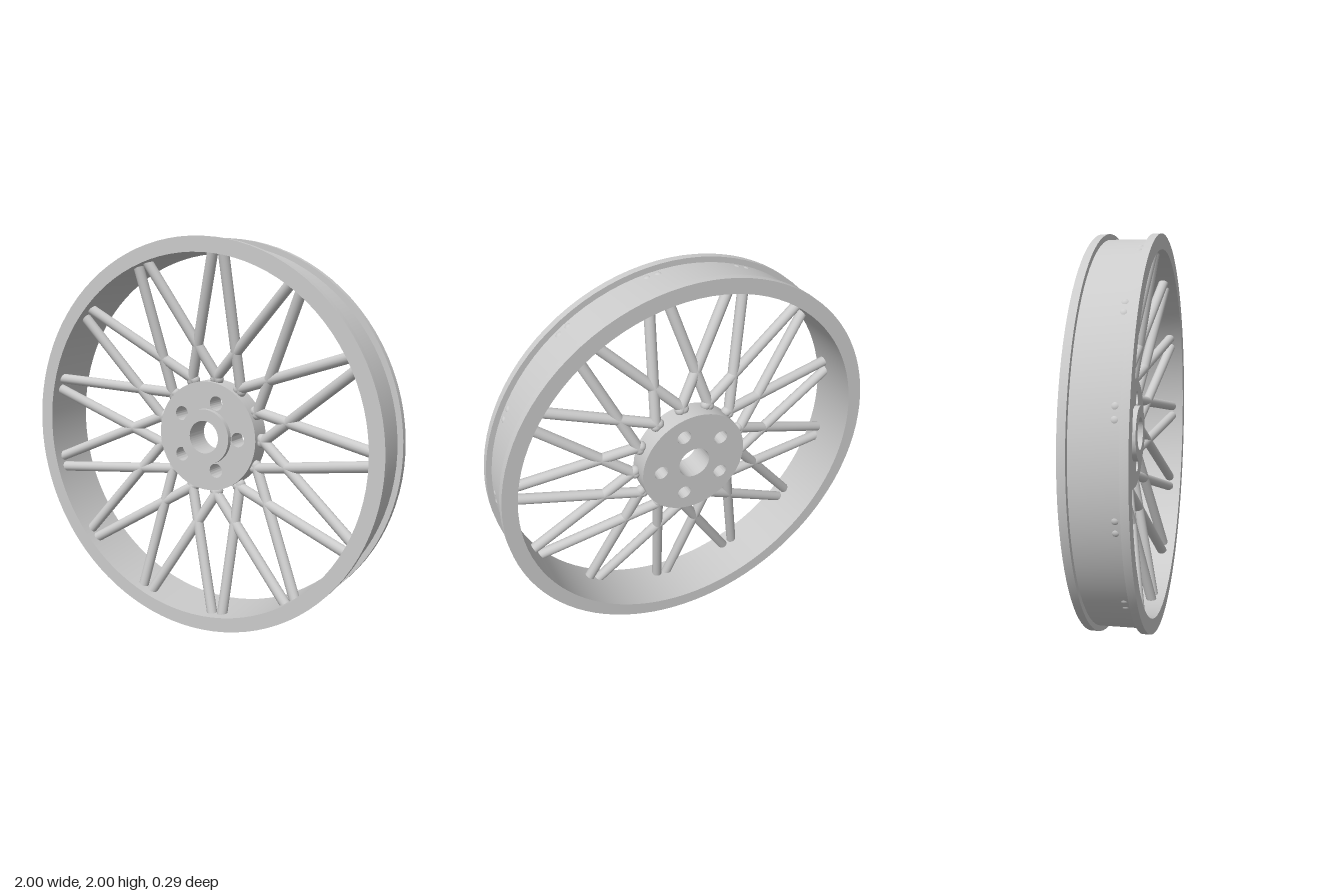
import * as THREE from 'three';
import { toCreasedNormals } from 'three/addons/utils/BufferGeometryUtils.js';

const material = new THREE.MeshStandardMaterial({ color: 0xcccccc });
const PAIRS = 13;

function addMesh(parent, name, geometry) {
  const mesh = new THREE.Mesh(geometry, material);
  mesh.name = name;
  parent.add(mesh);
  return mesh;
}

// Disc lying in the xy plane between two z values, with round holes [x, y, radius]
function disc(radius, z0, z1, holes) {
  const shape = new THREE.Shape().absarc(0, 0, radius, 0, Math.PI * 2, false);
  for (const [x, y, r] of holes) {
    shape.holes.push(new THREE.Path().absarc(x, y, r, 0, Math.PI * 2, true));
  }
  const geometry = new THREE.ExtrudeGeometry(shape, { depth: z1 - z0, bevelEnabled: false, curveSegments: 48 });
  geometry.translate(0, 0, z0);
  return toCreasedNormals(geometry, 0.6);
}

// Round-ended rod between the centres of its two end caps
function rod(a, b, radius) {
  const dir = b.clone().sub(a);
  const geometry = new THREE.CapsuleGeometry(radius, dir.length(), 6, 16);
  geometry.applyQuaternion(new THREE.Quaternion().setFromUnitVectors(new THREE.Vector3(0, 1, 0), dir.normalize()));
  const mid = a.clone().add(b).multiplyScalar(0.5);
  return geometry.translate(mid.x, mid.y, mid.z);
}

export function createModel() {
  const model = new THREE.Group();
  model.name = 'spokedWheel';
  const wheel = new THREE.Group();
  wheel.name = 'wheel';
  wheel.position.y = 1;
  model.add(wheel);

  // Rim: straight barrel with a raised lip at each edge
  const profile = [
    [0.925, -0.145], [1, -0.145], [1, -0.108], [0.973, -0.108],
    [0.973, 0.108], [1, 0.108], [1, 0.145], [0.925, 0.145], [0.925, -0.145],
  ].map(([r, y]) => new THREE.Vector2(r, y));
  const rim = new THREE.LatheGeometry(profile, 96).rotateX(Math.PI / 2);
  addMesh(wheel, 'rim', toCreasedNormals(rim, 0.6));

  // Hub plate with centre bore and five bolt holes
  const holes = [[0, 0, 0.085]];
  for (let i = 0; i < 5; i++) {
    const a = (i * Math.PI * 2) / 5;
    holes.push([0.185 * Math.cos(a), 0.185 * Math.sin(a), 0.037]);
  }
  addMesh(wheel, 'hubPlate', disc(0.285, -0.115, 0, holes));

  // Raised ring around the bore
  addMesh(wheel, 'hubRing', disc(0.145, -0.005, 0.027, [[0, 0, 0.085]]));

  // Crossing spokes: pairs meet at the rim and spread toward the hub
  const spokes = new THREE.Group();
  spokes.name = 'spokes';
  wheel.add(spokes);
  for (const side of [1, -1]) {
    const geometry = rod(
      new THREE.Vector3(0.26, side * 0.147, -0.045),
      new THREE.Vector3(0.95, side * 0.027, 0.08),
      0.027,
    );
    for (let i = 0; i < PAIRS; i++) {
      addMesh(spokes, side > 0 ? 'leftSpoke' : 'rightSpoke', geometry).rotation.z = (i * Math.PI * 2) / PAIRS;
    }
  }
  return model;
}
